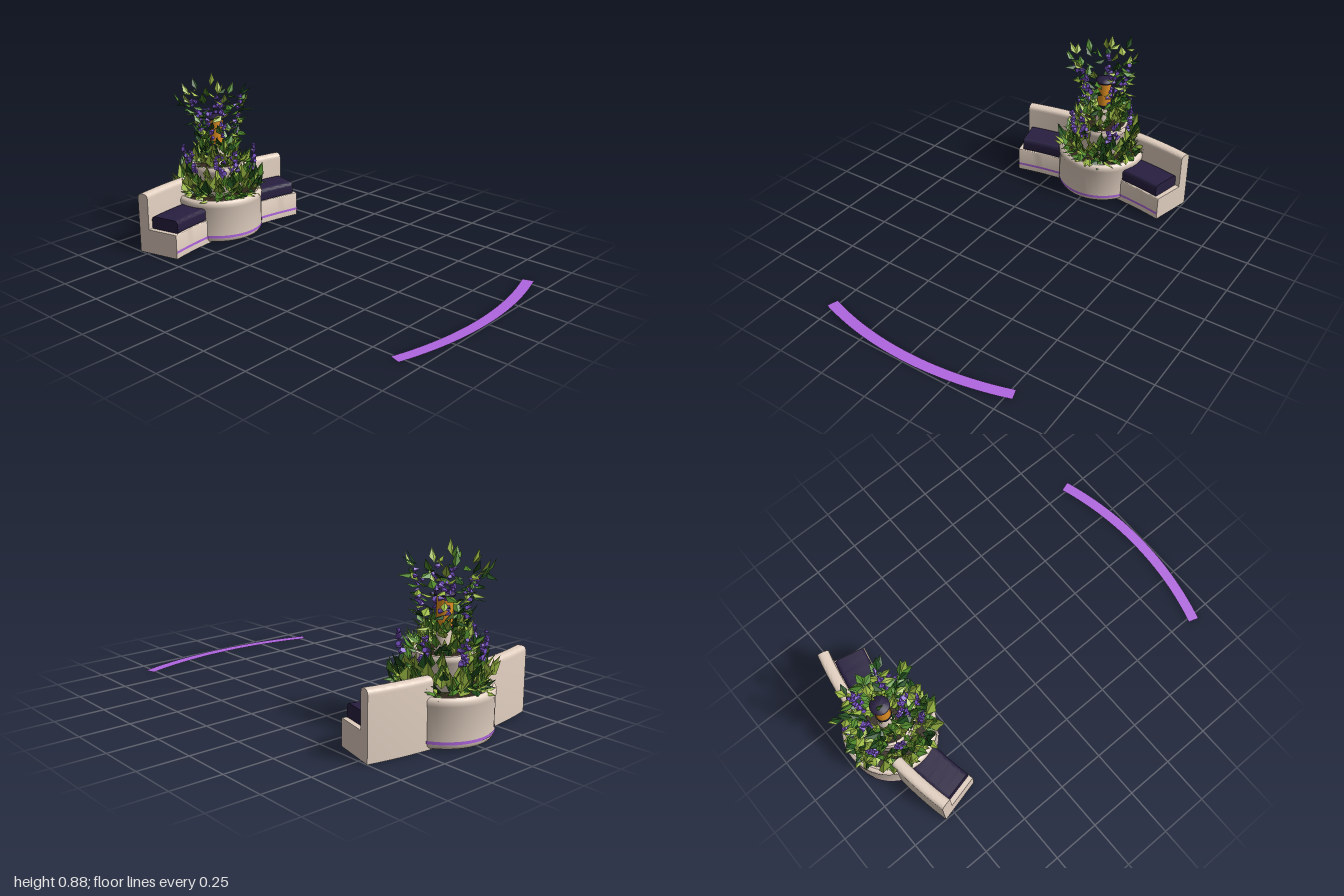
import * as THREE from 'three';
import { mergeGeometries, toCreasedNormals } from 'three/addons/utils/BufferGeometryUtils.js';

const PZ = -0.745;            // planter axis
const BZ = 1.237;             // centre of the bench curve
const DEG = Math.PI / 180;

const mat = (name, color, opts = {}) => Object.assign(new THREE.MeshStandardMaterial({ color, ...opts }), { name });

function seeded(seed) {
  return () => {
    seed = (seed * 1664525 + 1013904223) % 4294967296;
    return seed / 4294967296;
  };
}

// Rectangle in (radius, height) with separately rounded top and bottom corners
function section(r0, r1, y0, y1, top, bottom) {
  const s = new THREE.Shape();
  s.moveTo(r1 - bottom, y0);
  if (bottom) s.quadraticCurveTo(r1, y0, r1, y0 + bottom);
  s.lineTo(r1, y1 - top);
  if (top) s.quadraticCurveTo(r1, y1, r1 - top, y1);
  s.lineTo(r0 + top, y1);
  if (top) s.quadraticCurveTo(r0, y1, r0, y1 - top);
  s.lineTo(r0, y0 + bottom);
  if (bottom) s.quadraticCurveTo(r0, y0, r0 + bottom, y0);
  s.closePath();
  return s;
}

// Sweep a section along an arc (angles from the back of the curve) and cap both ends
function arcSolid(shape, a0, a1) {
  const start = Math.PI + a0, len = a1 - a0;
  const pts = shape.getPoints(5);
  pts.push(pts[0].clone());
  const body = toCreasedNormals(new THREE.LatheGeometry(pts, 24, start, len), 0.7);
  const caps = [start, start + len].map((phi) =>
    new THREE.ShapeGeometry(shape, 5).toNonIndexed().rotateY(phi - Math.PI / 2));
  return mergeGeometries([body, ...caps]);
}

export function createModel() {
  const root = new THREE.Group();
  root.name = 'planterBench';
  const D = { side: THREE.DoubleSide };
  const stone = mat('warmStone', 0xe2d0c1, D);
  const navy = mat('darkNavy', 0x281f40, D);
  const violet = mat('violetTrim', 0xb066e0, D);
  const amber = mat('amberGlow', 0xe08f22);
  const soil = mat('soil', 0x33281f);
  const petal = mat('purplePetal', 0x7b54ca);
  const greens = [mat('lightLeaf', 0x9dbb45, D), mat('midLeaf', 0x528c2d, D), mat('darkLeaf', 0x22501f, D)];

  const add = (name, geo, material, x = 0, y = 0, z = 0, parent = root) => {
    const m = new THREE.Mesh(geo, material);
    m.name = name;
    m.position.set(x, y, z);
    parent.add(m);
    return m;
  };
  const lathe = (pairs) => toCreasedNormals(
    new THREE.LatheGeometry(pairs.map(([r, y]) => new THREE.Vector2(r, y)), 48), 0.7);

  // Curved bench
  const E = 13.75 * DEG;
  add('benchBase', arcSolid(section(1.87, 2.06, 0, 0.13, 0.006, 0), -E, E), stone, 0, 0, BZ);
  add('benchStripe', new THREE.CylinderGeometry(1.867, 1.867, 0.013, 32, 1, true, Math.PI - E, 2 * E),
    violet, 0, 0.037, BZ);
  for (const [side, s] of [['left', -1], ['right', 1]]) {
    const span = (a, b) => (s > 0 ? [a * DEG, b * DEG] : [-b * DEG, -a * DEG]);
    add(side + 'Backrest', arcSolid(section(2.04, 2.1, 0, 0.32, 0.025, 0), ...span(4.8, 13.75)), stone, 0, 0, BZ);
    add(side + 'Cushion', arcSolid(section(1.876, 2.038, 0.128, 0.197, 0.022, 0.012), ...span(5, 13)), navy, 0, 0, BZ);
  }
  add('benchBackWall', arcSolid(section(2.04, 2.1, 0, 0.2, 0, 0), -5 * DEG, 5 * DEG), stone, 0, 0, BZ);

  // Round planter, hollow from below, with a rolled rim and a smaller bowl above
  add('planter', lathe([[0, 0.12], [0.19, 0.12], [0.195, 0.004], [0.205, 0.004], [0.222, 0.009], [0.231, 0.022],
    [0.232, 0.04], [0.232, 0.19], [0.236, 0.2], [0.236, 0.218], [0.23, 0.23], [0.218, 0.236], [0.205, 0.232],
    [0.2, 0.215]]), stone, 0, 0, PZ);
  add('planterStripe', new THREE.CylinderGeometry(0.2345, 0.2345, 0.014, 48, 1, true), violet, 0, 0.038, PZ);
  add('planterSoil', new THREE.CylinderGeometry(0.203, 0.203, 0.01, 40), soil, 0, 0.218, PZ);
  add('upperBowl', lathe([[0.1, 0.215], [0.128, 0.25], [0.132, 0.35], [0.14, 0.36], [0.141, 0.376],
    [0.135, 0.388], [0.122, 0.39], [0.115, 0.375]]), stone, 0, 0, PZ);
  add('bowlSoil', new THREE.CylinderGeometry(0.118, 0.118, 0.01, 32), soil, 0, 0.373, PZ);

  // Lantern
  add('lanternPost', new THREE.CylinderGeometry(0.03, 0.045, 0.12, 24), stone, 0, 0.43, PZ);
  add('lanternBase', new THREE.CylinderGeometry(0.04, 0.04, 0.015, 24), navy, 0, 0.488, PZ);
  add('lanternGlow', new THREE.CylinderGeometry(0.037, 0.037, 0.135, 24), amber, 0, 0.562, PZ);
  add('lanternCap', lathe([[0, 0.626], [0.045, 0.626], [0.048, 0.634], [0.043, 0.642], [0.02, 0.65], [0, 0.652]]),
    navy, 0, 0, PZ);

  // Folded diamond leaves, gathered by colour; azimuth a and elevation el in radians
  const rnd = seeded(71);
  const range = (a, b) => a + (b - a) * rnd();
  const V = (x, y, z) => new THREE.Vector3(x, y, z);
  const polar = (r, a, y) => V(r * Math.sin(a), y, r * Math.cos(a));
  const leafData = [[], [], []];
  function leaf(base, a, el, len, width, tone) {
    const dir = polar(Math.cos(el), a, Math.sin(el));
    const side = V(Math.cos(a), range(-0.5, 0.5), -Math.sin(a));
    side.addScaledVector(dir, -side.dot(dir)).normalize();
    const fold = side.clone().cross(dir).multiplyScalar(width * 0.2);
    const tip = base.clone().addScaledVector(dir, len);
    const mid = base.clone().addScaledVector(dir, len * 0.42).add(fold);
    const l = mid.clone().addScaledVector(side, width / 2);
    const r = mid.clone().addScaledVector(side, -width / 2);
    for (const p of [base, l, tip, base, tip, r]) leafData[tone].push(p.x, p.y, p.z);
  }
  const tone = (light, middle) => { const t = rnd(); return t < light ? 0 : t < light + middle ? 1 : 2; };

  // Ruff, skirt, bowl and crown: [count, rMin, rMax, yMin, yMax, elevation range, length, width]
  const tiers = [
    [85, 0.15, 0.19, 0.235, 0.265, -20, 30, 0.078, 0.052],
    [125, 0.13, 0.2, 0.225, 0.28, 35, 100, 0.1, 0.064],
    [60, 0.13, 0.175, 0.28, 0.34, 45, 105, 0.1, 0.06],
    [75, 0.07, 0.135, 0.37, 0.42, 15, 95, 0.09, 0.05],
    [50, 0.03, 0.1, 0.41, 0.48, 30, 95, 0.09, 0.046],
  ];
  for (const [n, r0, r1, y0, y1, e0, e1, len, w] of tiers) {
    for (let i = 0; i < n; i++) {
      const a = (i / n) * Math.PI * 2 * 7 + range(-0.3, 0.3);
      leaf(polar(range(r0, r1), a, range(y0, y1)), a + range(-0.9, 0.9), range(e0, e1) * DEG,
        len * range(0.65, 1.15), w * range(0.65, 1.15), tone(0.42, 0.38));
    }
  }

  // Arching sprays around the lantern: [azimuth in degrees, reach, top height]
  const sprays = [[-90, 0.175, 0.74], [-62, 0.16, 0.75], [-125, 0.18, 0.72], [-160, 0.16, 0.74], [172, 0.18, 0.75],
    [135, 0.14, 0.73], [95, 0.09, 0.74], [52, 0.12, 0.76], [12, 0.16, 0.73], [-28, 0.14, 0.74]];
  const florets = [];
  const floret = (p, size) => {
    const g = new THREE.ConeGeometry(0.014 * size, 0.032 * size, 5);
    g.rotateX(range(0, 6.3)).rotateZ(range(0, 6.3)).translate(p.x, p.y, p.z);
    florets.push(g);
  };
  sprays.forEach(([deg, reach, top], i) => {
    const a = deg * DEG;
    const curve = new THREE.CatmullRomCurve3([polar(0.05, a, 0.4), polar(0.09, a, 0.52),
      polar(0.11, a, 0.63), polar(reach, a, top)]);
    for (let k = 0; k < 9; k++) {
      leaf(curve.getPoint(0.28 + 0.09 * k), a + (k % 2 ? 1 : -1) * range(0.1, 1.4), range(-25, 55) * DEG,
        range(0.06, 0.088), range(0.032, 0.044), tone(0.28, 0.32));
    }
    leaf(curve.getPoint(1), a, 55 * DEG, 0.08, 0.038, tone(0.4, 0.3));
    // Flower chains on alternate sprays
    if (i % 2) {
      for (let k = 0; k < 11; k++) {
        const p = curve.getPoint(0.42 + 0.052 * k);
        floret(p.add(V(range(-0.014, 0.014), range(-0.015, 0.015), range(-0.014, 0.014))), range(0.8, 1.05));
      }
    }
  });
  // Central shoot
  leaf(V(-0.01, 0.8, -0.03), 0, 82 * DEG, 0.08, 0.038, 0);
  for (const s of [-1, 1]) leaf(V(0.03 * s, 0.745, -0.03), s, 60 * DEG, 0.08, 0.038, s < 0 ? 1 : 0);

  // Flower spikes between skirt and bowl: [azimuth in degrees, radius]
  for (const [deg, r] of [[-38, 0.16], [-12, 0.15], [48, 0.18], [100, 0.14], [160, 0.18], [-100, 0.15], [-150, 0.17]]) {
    for (let k = 0; k < 11; k++) {
      const p = polar(r + 0.002 * k, deg * DEG + range(-0.13, 0.13), 0.365 + 0.011 * k + range(-0.006, 0.006));
      floret(p, 1.2 - 0.05 * k);
    }
  }

  const foliage = new THREE.Group();
  foliage.name = 'foliage';
  foliage.position.z = PZ + 0.005;
  root.add(foliage);
  ['lightLeaves', 'midLeaves', 'darkLeaves'].forEach((name, i) => {
    const g = new THREE.BufferGeometry();
    g.setAttribute('position', new THREE.Float32BufferAttribute(leafData[i], 3));
    g.computeVertexNormals();
    add(name, g, greens[i], 0, 0, 0, foliage);
  });
  add('flowers', toCreasedNormals(mergeGeometries(florets), 0.3), petal, 0, 0, 0, foliage);

  // Curved floor strip in front, concentric with the planter
  const strip = new THREE.RingGeometry(1.678, 1.735, 48, 1, -Math.PI / 2 - 18 * DEG, 36 * DEG);
  add('floorStrip', strip.rotateX(-Math.PI / 2), violet, 0, 0.003, -0.737);
  return root;
}
